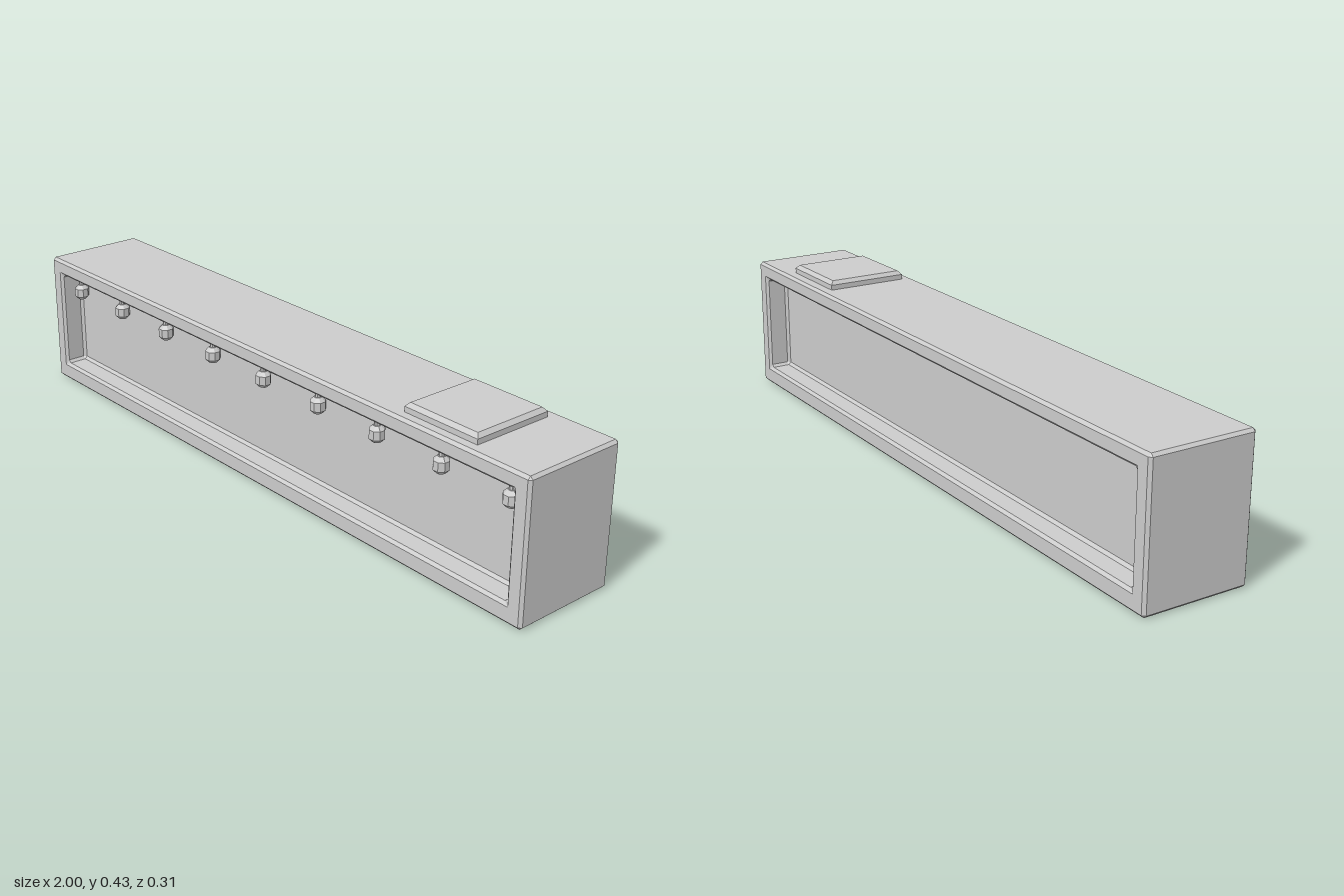
import * as THREE from 'three';

const material = new THREE.MeshStandardMaterial({ color: 0xcccccc, flatShading: true });

// Rectangle with cut corners, counter-clockwise seen from +z
function ring([w, h, cut, z]) {
  return [
    [w, -h + cut], [w, h - cut], [w - cut, h], [-w + cut, h],
    [-w, h - cut], [-w, -h + cut], [-w + cut, -h], [w - cut, -h],
  ].map(([x, y]) => [x, y, z]);
}

// Skin a series of rectangles [halfWidth, halfHeight, cornerCut, z] and cap both ends
function loft(sections) {
  const rings = sections.map(ring);
  const pos = [];
  const tri = (a, b, c) => pos.push(...a, ...b, ...c);
  for (let k = 0; k < rings.length - 1; k++) {
    const a = rings[k], b = rings[k + 1];
    for (let i = 0; i < 8; i++) {
      const j = (i + 1) % 8;
      tri(a[i], a[j], b[j]);
      tri(a[i], b[j], b[i]);
    }
  }
  const first = rings[0], last = rings[rings.length - 1];
  for (let i = 1; i < 7; i++) {
    tri(first[0], first[i + 1], first[i]);
    tri(last[0], last[i], last[i + 1]);
  }
  const geo = new THREE.BufferGeometry();
  geo.setAttribute('position', new THREE.Float32BufferAttribute(pos, 3));
  geo.computeVertexNormals();
  return geo;
}

function addMesh(parent, name, geo, x = 0, y = 0, z = 0) {
  const mesh = new THREE.Mesh(geo, material);
  mesh.name = name;
  mesh.position.set(x, y, z);
  parent.add(mesh);
  return mesh;
}

export function createModel() {
  const model = new THREE.Group();
  model.name = 'lightBox';

  // Long housing with a bevelled recess in the front and in the back
  const W = 1, H = 0.201, D = 0.156, b = 0.008;
  const w = 0.958, h = 0.157, depth = 0.07;
  const half = [
    [W, H, b, D - b],                            // outer side
    [W - b, H - b, 0, D],                        // rim, outer edge
    [w, h, 0, D],                                // rim, inner edge
    [w - b, h - b, b, D - b],                    // recess wall, front
    [w - b, h - b, b, D - depth + b],            // recess wall, back
    [w - 2 * b, h - 2 * b, 0, D - depth],        // panel
  ];
  const back = half.map(([x, y, c, z]) => [x, y, c, -z]).reverse();
  const housing = loft([...back, ...half]);
  housing.translate(0, 0.004, 0);
  // keep the outer shell seated on the ground, recess slightly above centre
  const p = housing.attributes.position;
  for (let i = 0; i < p.count; i++) {
    if (Math.abs(p.getY(i) - 0.004) > h + 0.02) p.setY(i, p.getY(i) - 0.004);
  }
  housing.computeVertexNormals();
  addMesh(model, 'housing', housing, 0, H, 0);

  // Hatch with a chamfered top edge
  const hatch = loft([
    [0.122, 0.122, 0, -0.005],
    [0.122, 0.122, 0, 0.015],
    [0.112, 0.112, 0, 0.026],
  ]);
  hatch.rotateX(-Math.PI / 2);
  addMesh(model, 'roofHatch', hatch, 0.685, 2 * H, 0.002);

  // Row of small bulbs hanging in the front recess
  const bulbProfile = [
    [0, -0.023], [0.012, -0.023], [0.022, -0.013],
    [0.022, 0.012], [0.011, 0.023], [0, 0.023],
  ].map(([x, y]) => new THREE.Vector2(x, y));
  const bulbGeo = new THREE.LatheGeometry(bulbProfile, 8, Math.PI / 8);
  const stemGeo = new THREE.CylinderGeometry(0.008, 0.008, 0.04, 8);
  for (let i = 0; i < 9; i++) {
    const lamp = new THREE.Group();
    lamp.name = 'lamp' + (i + 1);
    lamp.position.set(-0.905 + i * 0.227, 0.303, 0.113);
    addMesh(lamp, 'bulb', bulbGeo);
    addMesh(lamp, 'stem', stemGeo, 0, 0.037, 0);
    model.add(lamp);
  }
  return model;
}
